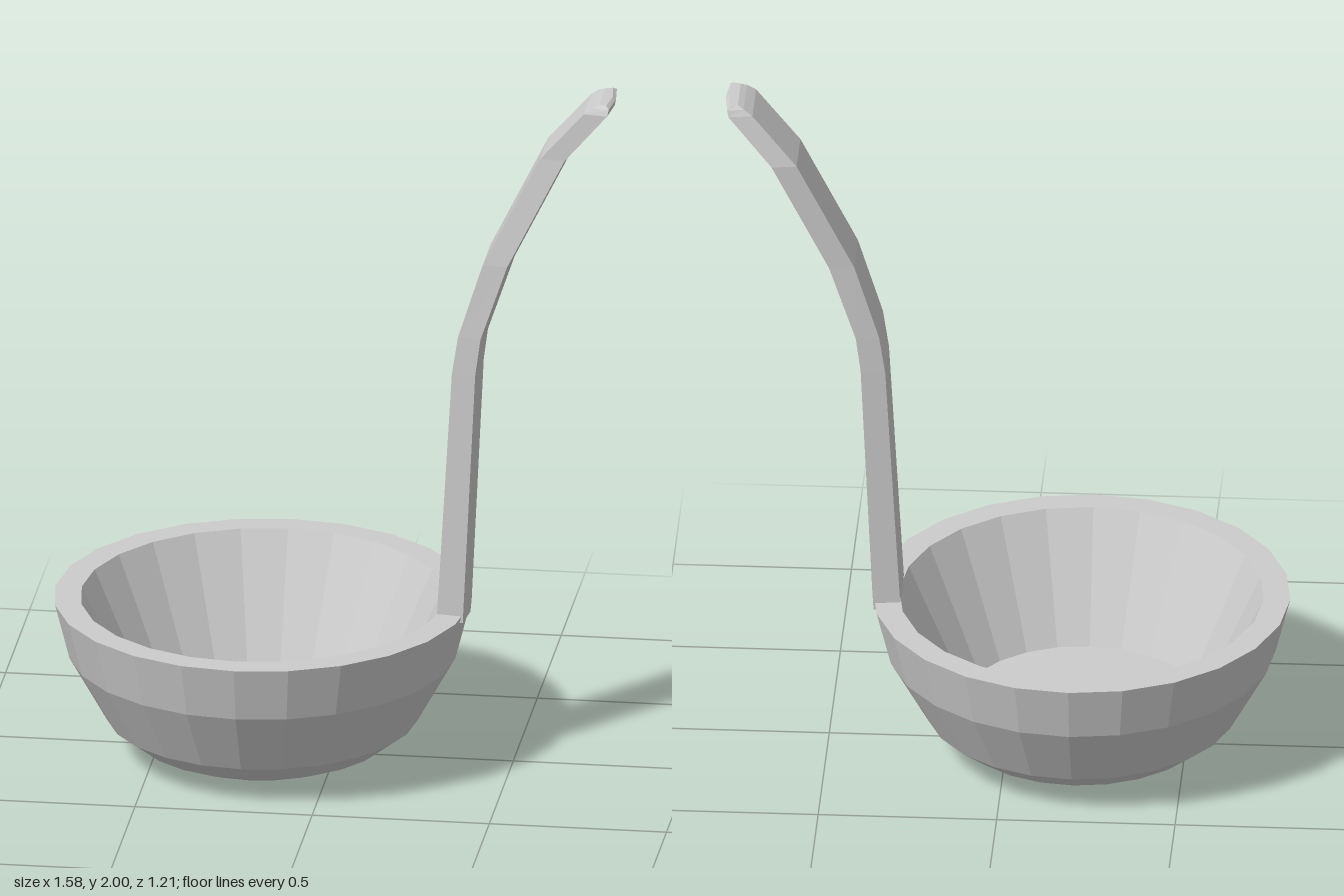
import * as THREE from 'three';

const material = new THREE.MeshStandardMaterial({ color: 0xcccccc, flatShading: true });

// Thick-walled, slightly oval bowl: outside from the base up, over the rim, down to the inner floor
function createBowl() {
  const profile = [
    [0, 0], [0.2, 0], [0.29, 0.015], [0.375, 0.05], [0.455, 0.11], [0.565, 0.3],
    [0.607, 0.46], [0.53, 0.46], [0.36, 0.11], [0, 0.11],
  ].map(([r, y]) => new THREE.Vector2(r, y));
  const bowl = new THREE.Mesh(new THREE.LatheGeometry(profile, 24), material);
  bowl.name = 'bowl';
  bowl.scale.x = 0.963;
  bowl.position.x = -0.207;
  return bowl;
}

// Curved handle lofted through level cross-sections: [y, inner x, outer x, half width, z shift]
function createHandle() {
  const sections = [
    [0.44, 0.295, 0.37, 0.093, 0],
    [1.18, 0.338, 0.405, 0.093, 0],
    [1.29, 0.355, 0.42, 0.093, 0],
    [1.51, 0.425, 0.495, 0.093, 0],
    [1.83, 0.585, 0.655, 0.094, -0.016],
    [1.975, 0.71, 0.777, 0.092, 0],
    [1.992, 0.735, 0.781, 0.085, 0],
    [2, 0.752, 0.772, 0.072, 0],
  ];
  const positions = [];
  for (const [y, inner, outer, w, z] of sections) {
    // inner edge slightly narrower, outer face with a shallow ridge
    positions.push(
      inner, y, z - w * 0.9, inner, y, z + w * 0.9,
      outer, y, z + w, outer + 0.009, y, z, outer, y, z - w,
    );
  }
  const n = 5, index = [];
  for (let s = 0; s < sections.length - 1; s++) {
    for (let k = 0; k < n; k++) {
      const a = s * n + k, b = s * n + (k + 1) % n;
      index.push(a, b, b + n, a, b + n, a + n);
    }
  }
  // End caps
  const top = (sections.length - 1) * n;
  for (let k = 1; k < n - 1; k++) {
    index.push(top, top + k, top + k + 1, 0, k + 1, k);
  }
  const indexed = new THREE.BufferGeometry();
  indexed.setAttribute('position', new THREE.Float32BufferAttribute(positions, 3));
  indexed.setIndex(index);
  const geometry = indexed.toNonIndexed();
  geometry.computeVertexNormals();
  const handle = new THREE.Mesh(geometry, material);
  handle.name = 'handle';
  return handle;
}

export function createModel() {
  const ladle = new THREE.Group();
  ladle.name = 'ladle';
  ladle.add(createBowl(), createHandle());
  return ladle;
}
